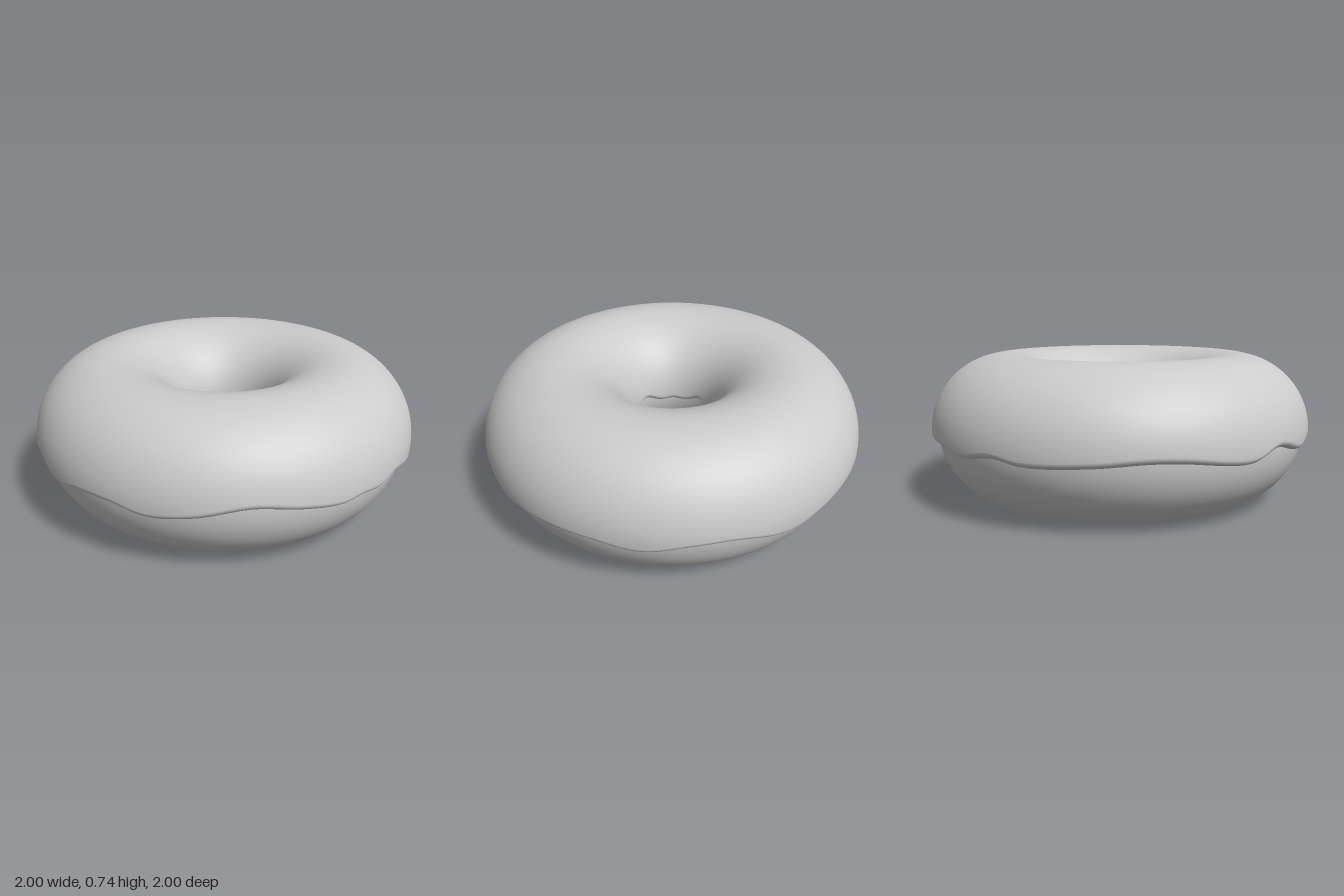
import * as THREE from 'three';
import { ParametricGeometry } from 'three/addons/geometries/ParametricGeometry.js';

const RING = 0.612;     // radius of the ring's centre line
const CENTRE_Y = 0.352; // height of the centre line
const BUN = 0.352;      // tube radius of the dough
const ICING = 0.387;    // tube radius of the icing
const LIP = 0.035;      // length of the rounded icing rim

// Wavy outer rim of the icing: [degrees round from the front, height]
const RIM = [
  [0, 0.342], [10, 0.315], [22, 0.337], [37, 0.385], [50, 0.353], [62, 0.322], [69, 0.33], [77, 0.318],
  [84, 0.34], [91, 0.318], [98, 0.285], [110, 0.305], [122, 0.315], [132, 0.315], [144, 0.293], [156, 0.328],
  [168, 0.335], [184, 0.28], [195, 0.30], [204, 0.315], [219, 0.32], [230, 0.30], [242, 0.33], [252, 0.31],
  [270, 0.325], [284, 0.345], [293, 0.34], [313, 0.303], [324, 0.353], [338, 0.303], [348, 0.335],
];

function createIcing() {
  const rim = new THREE.CatmullRomCurve3(RIM.map(([deg, y]) => {
    const a = THREE.MathUtils.degToRad(deg);
    return new THREE.Vector3(Math.sin(a), y, Math.cos(a));
  }), true);
  const p = new THREE.Vector3();
  const angleAt = (y) => Math.asin((y - CENTRE_Y) / ICING);

  // u runs round the ring, v runs over the tube from the outer rim to the inner rim
  return new ParametricGeometry((u, v, target) => {
    rim.getPoint(u % 1, p);
    const phi = Math.atan2(p.x, p.z);
    const innerY = 0.34 + 0.014 * Math.sin(5 * phi + 1) + 0.01 * Math.sin(9 * phi);
    const start = angleAt(p.y);
    const end = Math.PI - angleAt(innerY);
    const lip = LIP / ICING;

    // quarter-round lips at both rims, full thickness between them
    const fromEnd = Math.min(v, 1 - v);
    let theta, radius = ICING;
    if (fromEnd < 0.1) {
      const a = (fromEnd / 0.1) * Math.PI / 2;
      const step = lip * (1 - Math.cos(a));
      theta = v < 0.5 ? start + step : end - step;
      radius = BUN - 0.004 + (ICING - BUN + 0.004) * Math.sin(a);
    } else {
      theta = THREE.MathUtils.mapLinear(v, 0.1, 0.9, start + lip, end - lip);
    }
    const r = RING + radius * Math.cos(theta);
    target.set(r * Math.sin(phi), CENTRE_Y + radius * Math.sin(theta), r * Math.cos(phi));
  }, 248, 70);
}

export function createModel() {
  const group = new THREE.Group();
  group.name = 'donut';
  const material = new THREE.MeshStandardMaterial({ color: 0xcccccc });

  // Dough ring
  const bun = new THREE.Mesh(new THREE.TorusGeometry(RING, BUN, 64, 160).rotateX(Math.PI / 2), material);
  bun.position.y = CENTRE_Y;
  bun.name = 'dough';
  group.add(bun);

  // Icing shell over the top half
  const icing = new THREE.Mesh(createIcing(), material.clone());
  icing.material.side = THREE.DoubleSide;
  icing.name = 'icing';
  group.add(icing);

  return group;
}
